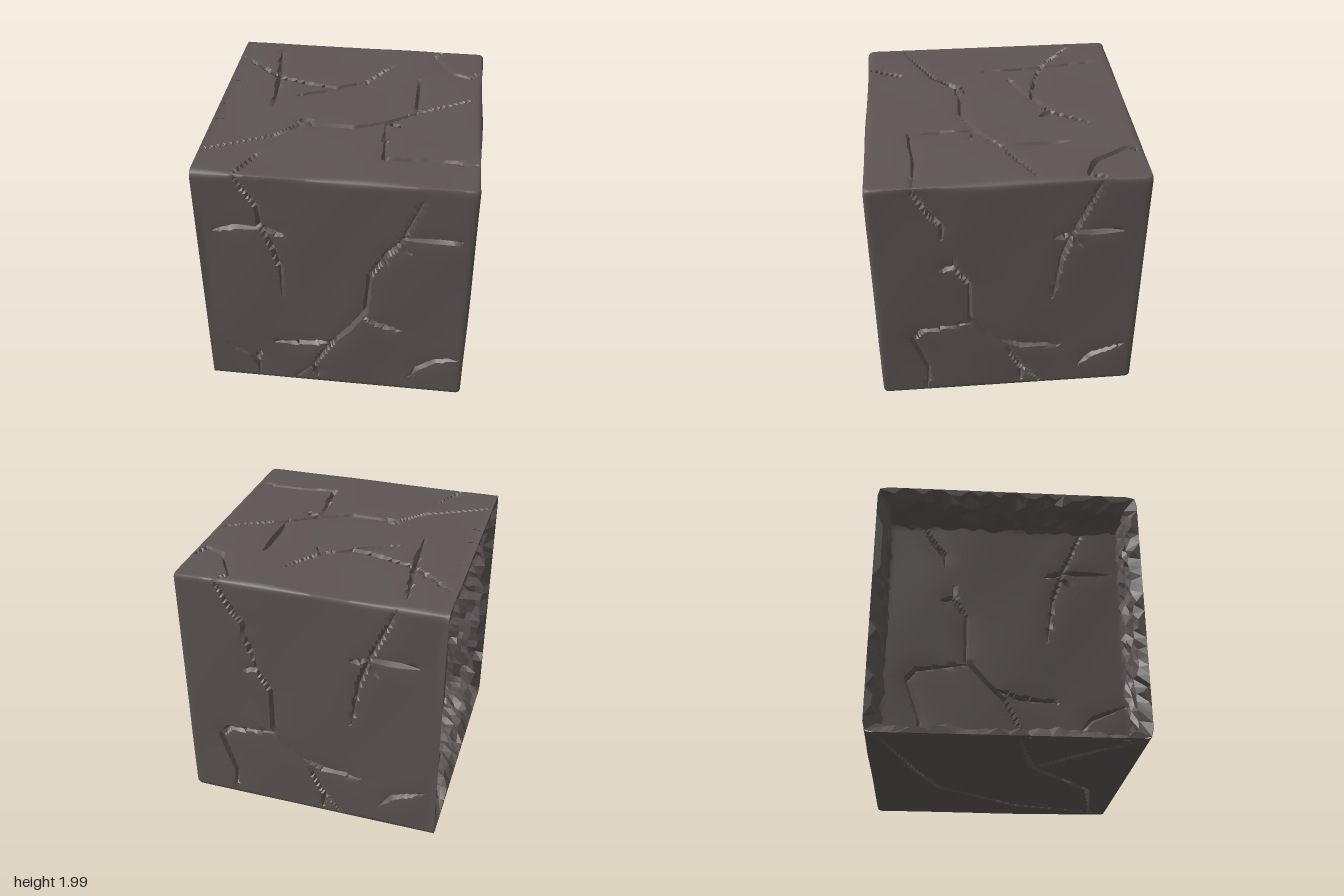
import * as THREE from 'three';
import { mergeVertices, mergeGeometries, toCreasedNormals } from 'three/addons/utils/BufferGeometryUtils.js';

const H = 0.995, R = 0.05, N = 96;
const V = (x, y, z) => new THREE.Vector3(x, y, z);
const smooth = THREE.MathUtils.smoothstep, clamp = THREE.MathUtils.clamp;

// Crack lines per face as u, v pairs, seen square on; v runs 0..2 on upright faces
const frontCracks = [
  [.62, 1.88, .48, 1.53, .36, 1.36, .26, 1.18, .24, .98, .23, .82, .1, .62, -.04, .45, -.08, .38, -.18, .2, -.33, .03],
  [.46, 1.54, .7, 1.54, .9, 1.55], [.48, 1.53, .43, 1.44, .36, 1.36, .37, 1.3], [.46, 1.5, .54, 1.4], [.2, .77, .3, .7, .5, .64],
  [-.04, .47, -.2, .44, -.48, .41], [-.18, .2, -.14, .08],
  [-.7, 1.98, -.55, 1.74, -.53, 1.55, -.45, 1.38, -.4, 1.2, -.4, .94],
  [-.5, 1.54, -.7, 1.54, -.88, 1.49], [-.53, 1.55, -.35, 1.48],
  [-.85, .35, -.68, .24, -.62, .15, -.62, .02], [-.64, .18, -.6, .3], [.59, .17, .62, .24, .78, .36, .94, .38],
];
const sideCracks = [
  [-.68, 1.98, -.55, 1.75, -.47, 1.65, -.47, 1.54],
  [-.4, 1.38, -.4, 1.28, -.29, 1.1, -.29, .75, -.15, .58, 0, .42, .1, .22, .25, .04],
  [-.25, .72, -.66, .66, -.73, .58, -.62, .25, -.64, .03],
  [-.07, .52, .1, .45, .4, .42], [.12, .22, .1, .06], [-.38, 1.28, -.5, 1.25],
  [.65, 1.98, .46, 1.54, .38, 1.3, .33, .93], [.44, 1.54, .6, 1.53, .82, 1.53], [.48, 1.54, .32, 1.49], [.44, 1.5, .53, 1.4],
  [.56, .2, .65, .3, .9, .4],
];
const backCracks = [...sideCracks, [-.47, 1.56, -.4, 1.36]];
const topCracks = [
  [-.98, -.7, -.5, -.46, -.35, -.3, -.2, -.27, .05, -.28, .28, -.18, .5, -.03, .92, .2],
  [.5, 0, .5, .48], [.28, -.2, .32, -.67, .62, -.64, .98, -.66], [.28, -.18, .42, -.23], [-.35, -.29, -.33, -.22, -.25, -.22],
  [-.98, .7, -.62, .4, -.35, .32, -.15, .28, .08, .4, .28, .7], [.06, .4, .14, .3],
  [-.68, .85, -.62, .4, -.59, -.06], [-.12, .26, -.45, .12], [.66, .97, .6, .88, .75, .62, .9, .55, .98, .7],
  [-.56, -.7, -.7, -.97],
];
const bottomCracks = [
  [.97, .9, .9, .84, .7, .15, .27, -.45, -.17, -.66, -.96, -.92],
  [.9, .84, .24, .72, -.3, .22, -.9, .08], [-.3, .22, -.45, .4, -.72, .66, -.9, .9],
];

// Nearest point of any crack, its half width w, and the groove depth at u, v
function probe(u, v, cracks, v0) {
  let best = { d: 9, x: u, y: v, w: 0 }, depth = 0, sag = 0;
  for (const c of cracks) {
    const last = c.length / 2 - 1;
    for (let i = 0; i < last; i++) {
      const ax = c[2 * i], ay = c[2 * i + 1] - v0, dx = c[2 * i + 2] - ax, dy = c[2 * i + 3] - v0 - ay;
      const t = clamp(((u - ax) * dx + (v - ay) * dy) / (dx * dx + dy * dy), 0, 1);
      const x = ax + t * dx, y = ay + t * dy, d = Math.hypot(u - x, v - y);
      const taper = 0.2 + 0.8 * Math.sin(Math.PI * (i + t) / last);
      const w = 0.022 * taper;
      if (d < best.d) best = { d, x, y, w };
      depth = Math.max(depth, 0.045 * taper * Math.max(0, 1 - d / w));
      sag = Math.max(sag, 0.008 * taper * Math.max(0, 1 - d / 0.16) ** 2);
    }
  }
  return { ...best, depth: depth + sag };
}

// Rounds the cube's edges, except around the open side
function rounded(p) {
  const m = H - R, q = V(clamp(p.x, -2, m), clamp(p.y, -m, m), clamp(p.z, -m, m));
  const d = p.clone().sub(q);
  return d.length() > 0 ? q.add(d.setLength(R)) : q;
}

// One cracked, gently uneven face
function crackedFace(U, W, cracks, v0, half, offset, round) {
  const n = U.clone().cross(W), pos = [], idx = [], cell = 2 * half / N;
  for (let j = 0; j <= N; j++) for (let i = 0; i <= N; i++) {
    let u = (i / N * 2 - 1) * half, v = (j / N * 2 - 1) * half;
    const inset = half - Math.max(Math.abs(u), Math.abs(v));
    // snap the grid to the bottom line and the lips of each groove
    const near = probe(u, v, cracks, v0);
    if (inset > cell / 2 && near.d < 1.1 * cell) {
      const k = near.d < 0.51 * cell ? 0 : near.w / near.d;
      u = near.x + (u - near.x) * k;
      v = near.y + (v - near.y) * k;
    }
    const fade = smooth(half - Math.max(Math.abs(u), Math.abs(v)), 0, 0.05);
    const wave = 0.003 * (2 + Math.sin(5 * u + 3 * v + n.x * 2) + Math.sin(4 * v - 6 * u + n.y * 3 + n.z));
    const p = n.clone().multiplyScalar(offset).addScaledVector(U, u).addScaledVector(W, v);
    const q = round ? rounded(p) : p;
    q.addScaledVector(n, -fade * (probe(u, v, cracks, v0).depth + wave));
    pos.push(q.x, q.y, q.z);
    if (i < N && j < N) {
      const a = j * (N + 1) + i, b = a + 1, c = a + N + 1, d = c + 1;
      if ((i < N / 2) === (j < N / 2)) idx.push(a, b, c, b, d, c);
      else idx.push(a, b, d, a, d, c);
    }
  }
  return makeGeometry(pos, idx);
}

function makeGeometry(pos, idx) {
  const g = new THREE.BufferGeometry();
  g.setAttribute('position', new THREE.Float32BufferAttribute(pos, 3));
  g.setIndex(idx);
  return g;
}

// Broken inner wall of the open side, a ring of faceted rubble
function rubbleRing() {
  let seed = 7;
  const rand = () => (seed = (seed * 16807) % 2147483647) / 2147483647;
  const cols = 104, rows = 8, pos = [], idx = [];
  for (let j = 0; j <= rows; j++) {
    const t = Math.max(0, j - 1) / (rows - 1);
    for (let i = 0; i < cols; i++) {
      // even steps round a square
      const s = (i / cols) * 4, k = Math.floor(s), e = (s - k) * 2 - 1;
      const [y, z] = [[1, e], [-e, 1], [-1, -e], [e, -1]][k];
      const h = j === 0 ? H : 0.955 - 0.03 * t - rand() * (j === 1 ? 0.015 : 0.05);
      const x = -H + 0.42 * t + (j > 1 ? (rand() - 0.5) * 0.04 : 0);
      const p = rounded(V(x, y * h, z * h));
      pos.push(p.x, p.y, p.z);
      if (j < rows) {
        const a = j * cols + i, b = j * cols + (i + 1) % cols;
        idx.push(a, a + cols, b, b, a + cols, b + cols);
      }
    }
  }
  const g = makeGeometry(pos, idx).toNonIndexed();
  g.computeVertexNormals();
  return g;
}

export function createModel() {
  const stone = new THREE.MeshStandardMaterial({ color: 0x5c5553 });
  stone.name = 'dark stone';
  const group = new THREE.Group();
  group.name = 'crackedBlock';
  const add = (geometry, name) => {
    const mesh = new THREE.Mesh(geometry, stone);
    mesh.name = name;
    mesh.position.y = H;
    group.add(mesh);
  };
  const X = V(1, 0, 0), Y = V(0, 1, 0), Z = V(0, 0, 1);
  const neg = (a) => a.clone().negate();

  // Outer skin: five faces joined over the rounded edges
  const skin = [
    [X, Y, frontCracks, 1], [neg(Z), Y, sideCracks, 1], [neg(X), Y, backCracks, 1],
    [X, neg(Z), topCracks, 0], [X, Z, bottomCracks, 0],
  ].map(([u, w, cracks, v0]) => crackedFace(u, w, cracks, v0, H, H, true));
  add(toCreasedNormals(mergeVertices(mergeGeometries(skin), 1e-4), 0.7), 'outerStone');

  // Sunken wall and rubble of the open side
  add(toCreasedNormals(crackedFace(Z, Y, sideCracks, 1, 0.94, 0.6, false), 0.7), 'sunkenWall');
  add(rubbleRing(), 'rubbleRim');
  return group;
}
